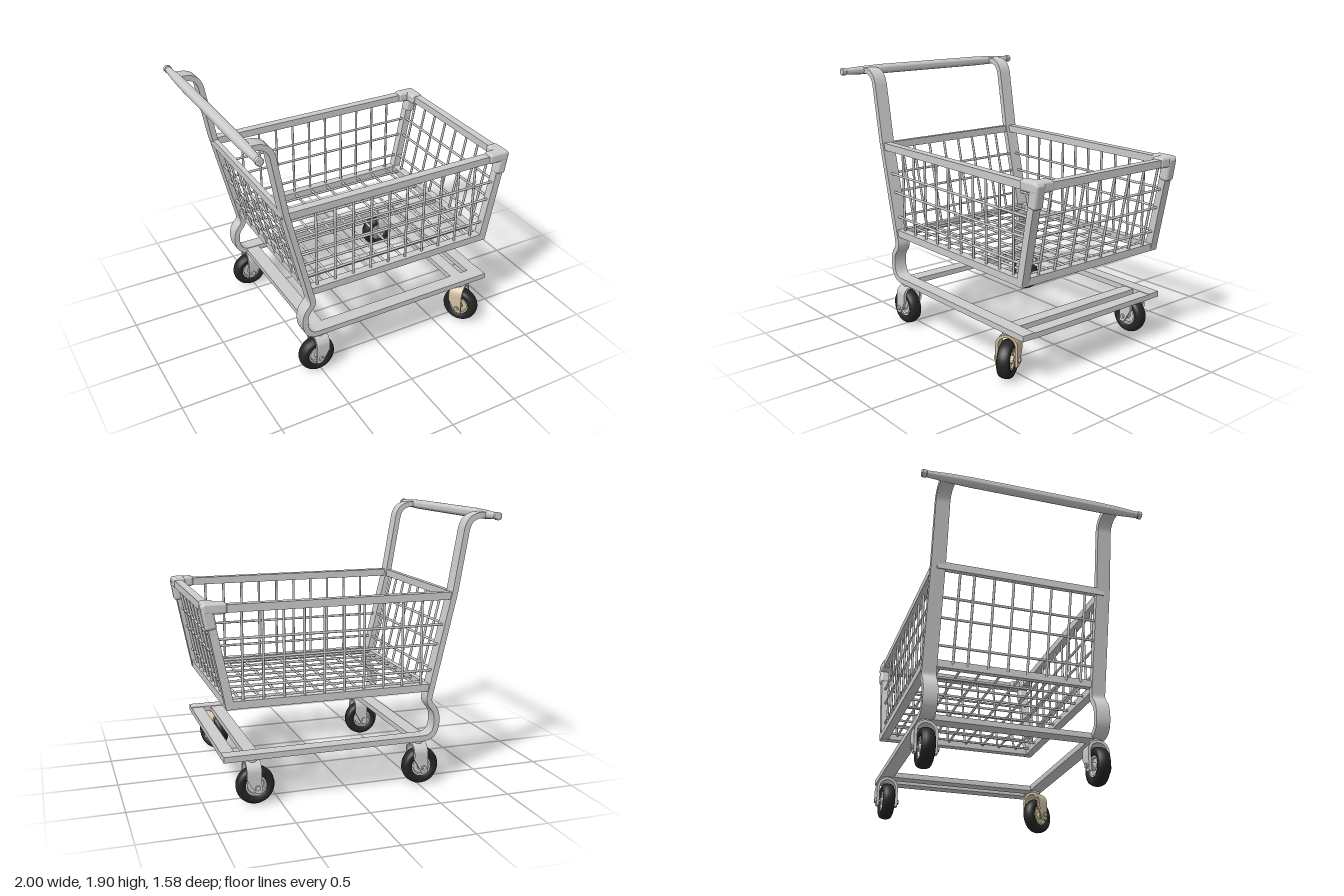
import * as THREE from 'three';
import { toCreasedNormals } from 'three/addons/utils/BufferGeometryUtils.js';
import { RoundedBoxGeometry } from 'three/addons/geometries/RoundedBoxGeometry.js';

const grey = new THREE.MeshStandardMaterial({ color: 0xcccccc });
const black = new THREE.MeshStandardMaterial({ color: 0x242424 });
const tan = new THREE.MeshStandardMaterial({ color: 0xcfbf9f });

const ZC = -0.02;                        // centre plane of the frame
const SIDE = 0.594;                      // half distance between the basket sides
const V = (x, y, z) => new THREE.Vector3(x, y, z);

function add(parent, name, geo, mat = grey, x = 0, y = 0, z = 0) {
  const m = new THREE.Mesh(geo, mat);
  m.name = name;
  m.position.set(x, y, z);
  parent.add(m);
  return m;
}

// box given by its min and max on each axis
function box(parent, name, x0, x1, y0, y1, z0, z1) {
  return add(parent, name, new THREE.BoxGeometry(x1 - x0, y1 - y0, z1 - z0), grey,
    (x0 + x1) / 2, (y0 + y1) / 2, (z0 + z1) / 2);
}

// round wire between two points
function wire(parent, name, a, b, r = 0.009) {
  const d = b.clone().sub(a);
  const m = add(parent, name, new THREE.CylinderGeometry(r, r, d.length(), 8));
  m.position.copy(a).add(b).multiplyScalar(0.5);
  m.quaternion.setFromUnitVectors(V(0, 1, 0), d.normalize());
}

// flat bar bent along a 2D path, extruded across z
function bentBar(path, thick, width) {
  const pts = [];
  for (const p of path.getPoints(10)) {
    if (!pts.length || p.distanceTo(pts[pts.length - 1]) > 1e-4) pts.push(p);
  }
  const left = [], right = [];
  pts.forEach((p, i) => {
    const t = pts[Math.min(i + 1, pts.length - 1)].clone().sub(pts[Math.max(i - 1, 0)]).normalize();
    const n = new THREE.Vector2(-t.y, t.x).multiplyScalar(thick / 2);
    left.push(p.clone().add(n));
    right.unshift(p.clone().sub(n));
  });
  const geo = new THREE.ExtrudeGeometry(new THREE.Shape([...left, ...right]),
    { depth: width, bevelEnabled: false });
  geo.translate(0, 0, -width / 2);
  return toCreasedNormals(geo, 0.6);
}

function forkGeometry() {
  const s = new THREE.Shape();
  s.moveTo(0.077, -0.04);
  s.lineTo(0.077, 0.06);
  s.lineTo(0.077, 0.1);
  s.absarc(0, 0.1, 0.077, 0, Math.PI, false);
  s.lineTo(-0.077, 0.06);
  s.lineTo(-0.077, -0.04);
  s.lineTo(-0.058, -0.04);
  s.lineTo(-0.058, 0.06);
  s.lineTo(-0.058, 0.1);
  s.absarc(0, 0.1, 0.058, Math.PI, 0, true);
  s.lineTo(0.058, 0.06);
  s.lineTo(0.058, -0.04);
  const g = new THREE.ExtrudeGeometry(s, { depth: 0.1, bevelEnabled: false, curveSegments: 16 });
  g.rotateY(Math.PI / 2);
  // legs narrow toward the axle
  const p = g.attributes.position;
  for (let i = 0; i < p.count; i++) {
    const k = THREE.MathUtils.clamp((0.06 - p.getY(i)) / 0.1, 0, 1);
    p.setX(i, p.getX(i) * (1 - 0.6 * k) - 0.03);
  }
  return toCreasedNormals(g, 0.6);
}

// wheel, fork and axle; the group's origin is the swivel axis at axle height
function caster(name, mat) {
  const g = new THREE.Group();
  g.name = name;
  const c = new THREE.Group();
  c.position.x = -0.02;
  g.add(c);
  const tyre = [[0.068, -0.03], [0.085, -0.042], [0.105, -0.045], [0.12, -0.038], [0.128, -0.022],
    [0.131, 0], [0.128, 0.022], [0.12, 0.038], [0.105, 0.045], [0.085, 0.042], [0.068, 0.03]];
  const round = (n, geo, m) => { add(c, n, geo, m).rotation.x = Math.PI / 2; };
  round('tyre', new THREE.LatheGeometry(tyre.map(p => new THREE.Vector2(...p)), 40), black);
  const hub = [[0, -0.045], [0.025, -0.045], [0.027, -0.022], [0.055, -0.02], [0.06, -0.032], [0.07, -0.032],
    [0.07, 0.032], [0.06, 0.032], [0.055, 0.02], [0.027, 0.022], [0.025, 0.045], [0, 0.045]];
  round('hub', toCreasedNormals(new THREE.LatheGeometry(hub.map(p => new THREE.Vector2(...p)), 32), 0.5), mat);
  round('axle', new THREE.CylinderGeometry(0.01, 0.01, 0.18, 10), mat);
  for (const s of [-1, 1]) {
    const nut = add(c, 'axleNut', new THREE.CylinderGeometry(0.019, 0.019, 0.012, 6), mat, 0, 0, s * 0.083);
    nut.rotation.x = Math.PI / 2;
  }
  add(c, 'fork', forkGeometry(), mat);
  add(g, 'swivel', new THREE.CylinderGeometry(0.04, 0.04, 0.025, 20), mat, 0, 0.178, 0);
  return g;
}

export function createModel() {
  const cart = new THREE.Group();
  cart.name = 'shoppingCart';

  // side frames: handle arm, post, S-bend and base rail in one bar
  const path = new THREE.Path();
  path.moveTo(-0.955, 1.868);
  path.lineTo(-0.9, 1.865);
  path.bezierCurveTo(-0.84, 1.855, -0.815, 1.82, -0.805, 1.77);
  path.lineTo(-0.735, 1.36);
  path.lineTo(-0.565, 0.64);
  path.bezierCurveTo(-0.545, 0.56, -0.62, 0.58, -0.622, 0.47);
  path.bezierCurveTo(-0.622, 0.38, -0.59, 0.34, -0.52, 0.34);
  path.lineTo(0.88, 0.34);
  const bar = bentBar(path, 0.04, 0.098);
  for (const s of [-1, 1]) add(cart, 'sideFrame', bar, grey, 0, 0, ZC + s * 0.586);

  // base cross bars
  for (const [a, b] of [[-0.55, -0.45], [0.64, 0.73], [0.79, 0.88]]) {
    box(cart, 'baseCrossBar', a, b, 0.318, 0.356, ZC - 0.55, ZC + 0.55);
  }

  // push handle with tapered ends
  const half = [[0.035, 0], [0.035, 0.45], [0.031, 0.6], [0.022, 0.755], [0.027, 0.76], [0.027, 0.785], [0.02, 0.79], [0, 0.79]];
  const prof = [...half.slice(1).reverse().map(([r, y]) => [r, -y]), ...half];
  const handle = add(cart, 'handle', toCreasedNormals(
    new THREE.LatheGeometry(prof.map(p => new THREE.Vector2(...p)), 28), 0.6), grey, -0.963, 1.867, 0);
  handle.rotation.x = Math.PI / 2;

  // basket frame
  const basket = new THREE.Group();
  basket.name = 'basket';
  cart.add(basket);
  const rearX = y => -0.565 - 0.17 * (y - 0.64) / 0.72;
  const frontX = y => 0.83 + 0.125 * (y - 0.7) / 0.63;
  const postShape = new THREE.Shape([[0.795, 0.67], [0.853, 0.67], [0.982, 1.33], [0.928, 1.33]]
    .map(p => new THREE.Vector2(...p)));
  const post = new THREE.ExtrudeGeometry(postShape, { depth: 0.06, bevelEnabled: false });
  post.translate(0, 0, -0.03);
  for (const s of [-1, 1]) {
    const z = ZC + s * SIDE;
    box(basket, 'topSideRail', -0.735, 0.95, 1.303, 1.355, z - 0.03, z + 0.03);
    box(basket, 'bottomSideRail', -0.57, 0.855, 0.672, 0.724, z - 0.03, z + 0.03);
    add(basket, 'frontPost', post, grey, 0, 0, z);

    // three-way corner cap
    const cap = new THREE.Group();
    cap.name = 'cornerCap';
    cap.position.set(0, 0, z);
    basket.add(cap);
    add(cap, 'capAlongSide', new RoundedBoxGeometry(0.16, 0.075, 0.082, 3, 0.02), grey, 0.912, 1.332, 0);
    add(cap, 'capAcrossFront', new RoundedBoxGeometry(0.09, 0.075, 0.155, 3, 0.02), grey, 0.947, 1.332, -s * 0.037);
    add(cap, 'capDown', new RoundedBoxGeometry(0.076, 0.17, 0.078, 3, 0.02), grey, 0.95, 1.28, 0).rotation.z = -0.17;
  }
  const z0 = ZC - SIDE, z1 = ZC + SIDE;
  box(basket, 'topFrontRail', 0.928, 0.985, 1.303, 1.355, z0, z1);
  box(basket, 'bottomFrontRail', 0.798, 0.855, 0.672, 0.724, z0, z1);
  box(basket, 'topRearRail', -0.75, -0.715, 1.303, 1.355, z0, z1);
  box(basket, 'bottomRearRail', -0.585, -0.545, 0.672, 0.724, z0, z1);

  // horizontal wires around all four sides
  for (const y of [0.815, 0.995, 1.13]) {
    const a = rearX(y), b = frontX(y);
    for (const z of [z0, z1]) wire(basket, 'sideWire', V(a, y, z), V(b, y, z));
    wire(basket, 'rearWire', V(a, y, z0), V(a, y, z1));
    wire(basket, 'frontWire', V(b, y, z0), V(b, y, z1));
  }
  // upright side wires and the floor wires running across
  for (let i = 0; i < 10; i++) {
    const x = -0.51 + i * 0.1385;
    for (const z of [z0, z1]) wire(basket, 'sideUpright', V(x, 0.7, z), V(x, 1.32, z));
    wire(basket, 'floorCrossWire', V(x, 0.7, z0), V(x, 0.7, z1));
  }
  // lengthwise floor wires with front and rear uprights
  const rearZ = [-0.45, -0.35, -0.21, -0.075, 0.06, 0.195, 0.335, 0.44];
  rearZ.forEach((rz, i) => {
    const z = -0.515 + i * 0.138;
    wire(basket, 'floorLongWire', V(-0.56, 0.71, z), V(0.82, 0.71, z));
    wire(basket, 'frontUpright', V(frontX(0.7), 0.7, z), V(frontX(1.32), 1.32, z));
    wire(basket, 'rearUpright', V(rearX(0.7), 0.7, rz), V(rearX(1.32), 1.32, rz));
  });

  // wheels; the front left caster is swivelled
  for (const [name, x, z, turn, mat] of [
    ['rearLeftWheel', -0.5, 0.563, 0, grey], ['rearRightWheel', -0.5, -0.603, 0, grey],
    ['frontRightCaster', 0.685, -0.603, 0, grey], ['frontLeftCaster', 0.685, 0.57, 2.13, tan]]) {
    const c = caster(name, mat);
    c.position.set(x, 0.135, z);
    c.rotation.y = turn;
    cart.add(c);
  }
  return cart;
}
